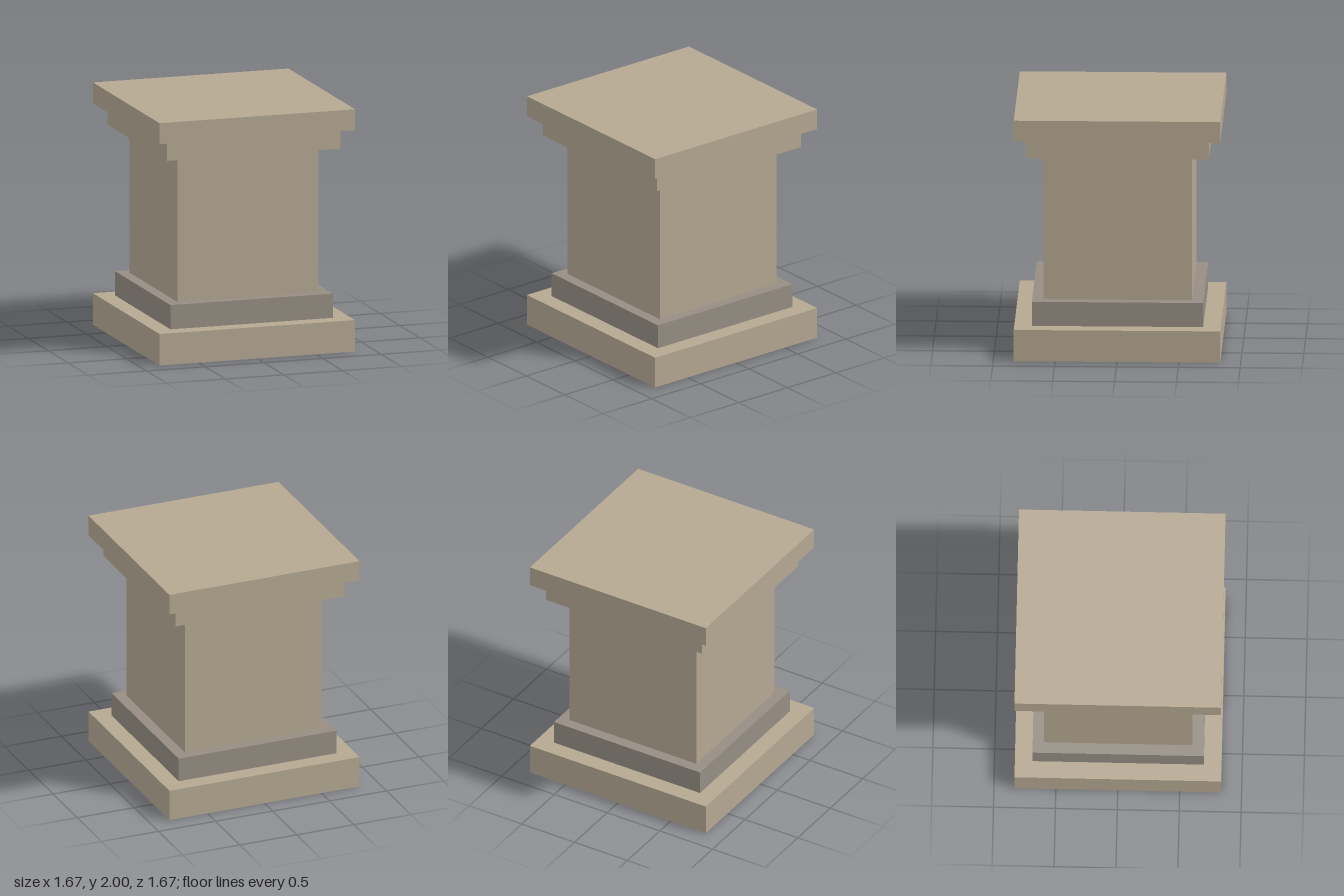
import * as THREE from 'three';

export function createModel() {
  const group = new THREE.Group();
  const sandstone = new THREE.MeshStandardMaterial({ color: 0xb5a892 });
  sandstone.name = 'sandstone';
  const greyStone = new THREE.MeshStandardMaterial({ color: 0x968e83 });
  greyStone.name = 'greyStone';

  // Square slabs stacked from the ground up: name, width, bottom, top, material
  const slabs = [
    ['basePlinth', 1.668, 0, 0.26, sandstone],
    ['baseMoulding', 1.384, 0.26, 0.46, greyStone],
    ['shaft', 1.2, 0.46, 1.663, sandstone],
    ['capitalMoulding', 1.48, 1.663, 1.827, sandstone],
    ['topSlab', 1.668, 1.827, 2, sandstone],
  ];
  for (const [name, width, bottom, top, material] of slabs) {
    const slab = new THREE.Mesh(new THREE.BoxGeometry(width, top - bottom, width), material);
    slab.name = name;
    slab.position.y = (bottom + top) / 2;
    group.add(slab);
  }
  return group;
}
